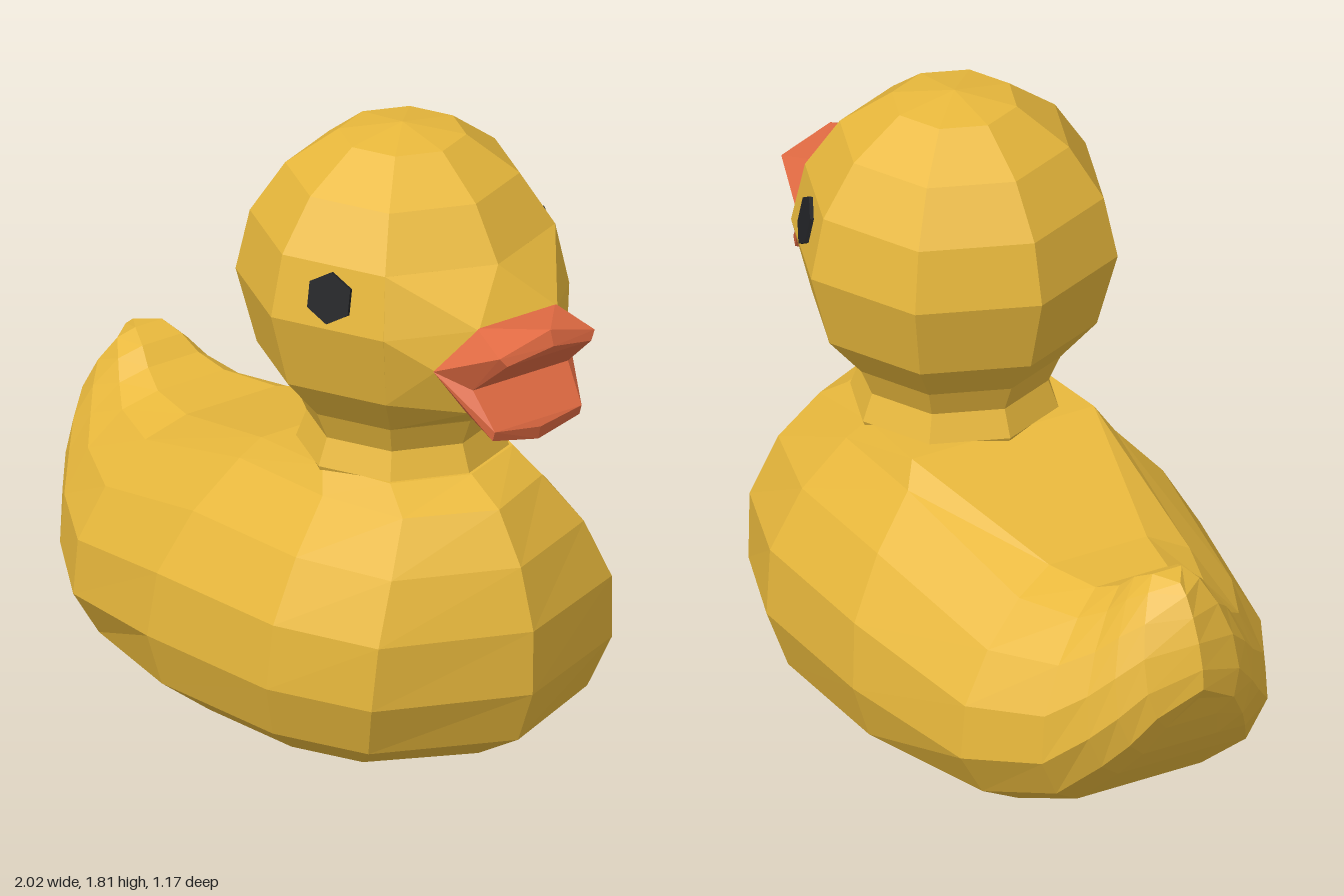
import * as THREE from 'three';
import { ConvexGeometry } from 'three/addons/geometries/ConvexGeometry.js';

const paint = (color) => new THREE.MeshStandardMaterial({ color, flatShading: true });

// Body: closed cross-sections lofted from the breast to the curled tail.
function bodyGeometry() {
  const heights = [0, 0.12, 0.31, 0.54, 0.75, 0.92, 1];
  const bulges = [0, 0.69, 0.96, 1, 0.81, 0.46, 0];
  const breast = [0.68, 0.91, 1, 0.97, 0.8, 0.58, 0.51];
  const back = [0.55, 0.84, 1, 0.97, 0.8, 0.56, 0.32];
  // bottom x, bottom y, top x, top y, bulge along x, half width, width profile
  const stations = [
    [0.66, 0, 0.63, 0.84, 0.265, 0, breast],
    [0.51, 0, 0.54, 0.84, 0.21, 0.43, breast],
    [0.3, 0, 0.32, 0.84, 0.11, 0.56, breast],
    [-0.05, 0, 0.06, 0.84, -0.08, 0.585, breast],
    [-0.47, 0, -0.45, 0.7, -0.07, 0.5, back],
    [-0.67, 0.07, -0.63, 0.7, -0.1, 0.37, back],
    [-0.81, 0.2, -0.71, 0.735, -0.08, 0.28, back],
    [-0.89, 0.29, -0.76, 0.78, -0.07, 0.22, back],
    [-0.95, 0.39, -0.82, 0.81, -0.055, 0.15, back],
    [-0.99, 0.48, -0.89, 0.8, -0.055, 0, back],
  ];
  const positions = [], index = [];
  const n = heights.length * 2;
  for (const [xb, yb, xt, yt, bulge, w, widths] of stations) {
    for (let j = 0; j < n; j++) {
      const k = j < n / 2 ? j : n - 1 - j;
      const side = j < n / 2 ? 1 : -1;
      const t = heights[k];
      positions.push(xb + (xt - xb) * t + bulge * bulges[k], yb + (yt - yb) * t, side * w * widths[k]);
    }
  }
  for (let i = 0; i < stations.length - 1; i++) {
    for (let j = 0; j < n; j++) {
      const a = i * n + j, b = i * n + (j + 1) % n;
      index.push(a, b, a + n, b, b + n, a + n);
    }
  }
  const g = new THREE.BufferGeometry();
  g.setAttribute('position', new THREE.Float32BufferAttribute(positions, 3));
  g.setIndex(index);
  g.computeVertexNormals();
  return g;
}

// Convex block from corner points; points off the centre line are mirrored.
function mirroredHull(points) {
  const all = [];
  for (const [x, y, z] of points) {
    all.push(new THREE.Vector3(x, y, z));
    if (z) all.push(new THREE.Vector3(x, y, -z));
  }
  return new ConvexGeometry(all);
}

export function createModel() {
  const model = new THREE.Group();
  const yellow = paint(0xe8b83c), orange = paint(0xe06a42), black = paint(0x222326);
  const add = (name, geometry, material) => {
    const mesh = new THREE.Mesh(geometry, material);
    mesh.name = name;
    model.add(mesh);
    return mesh;
  };

  add('body', bodyGeometry(), yellow);

  // Eight-sided neck and head, the neck sunk a little into the body
  const profile = [[0.27, 0.77], [0.3, 0.84], [0.27, 0.92], [0.305, 1.0], [0.41, 1.12], [0.47, 1.34],
    [0.43, 1.52], [0.33, 1.67], [0.18, 1.78], [0, 1.81]].map(([r, y]) => new THREE.Vector2(r, y));
  add('headAndNeck', new THREE.LatheGeometry(profile, 8), yellow).position.x = 0.32;

  // Face drawn forward to meet the beak
  add('face', mirroredHull([
    [0.75, 1.52, 0], [0.624, 1.52, 0.304], [0.652, 1.34, 0.332], [0.61, 1.12, 0.29], [0.75, 1.09, 0],
    [0.62, 1.0, 0], [0.534, 1.0, 0.214],
    [0.84, 1.385, 0.14], [0.765, 1.26, 0.235], [0.8, 1.12, 0.14],
  ]), yellow);

  // Open beak: two wedges meeting at the mouth corners
  add('upperBeak', mirroredHull([
    [0.83, 1.39, 0.14], [0.76, 1.26, 0.24], [0.85, 1.215, 0.17],
    [0.985, 1.4, 0], [0.97, 1.35, 0.17], [1, 1.355, 0], [0.98, 1.325, 0.15],
  ]), orange);
  add('lowerBeak', mirroredHull([
    [0.76, 1.26, 0.24], [0.78, 1.13, 0.15], [0.85, 1.215, 0.17],
    [0.93, 1.05, 0], [0.92, 1.08, 0.155], [0.94, 1.09, 0], [0.93, 1.11, 0.155],
  ]), orange);

  // Hexagonal eyes lying on the head facets, one corner up
  for (const side of [1, -1]) {
    const eye = add(side > 0 ? 'leftSideEye' : 'rightSideEye', new THREE.CylinderGeometry(0.075, 0.075, 0.018, 6), black);
    const turn = Math.PI / 8;
    eye.rotation.set(Math.PI / 2 - 0.2, side > 0 ? turn : Math.PI - turn, 0, 'YXZ');
    eye.position.set(0.48, 1.43, side * 0.386);
  }
  return model;
}
